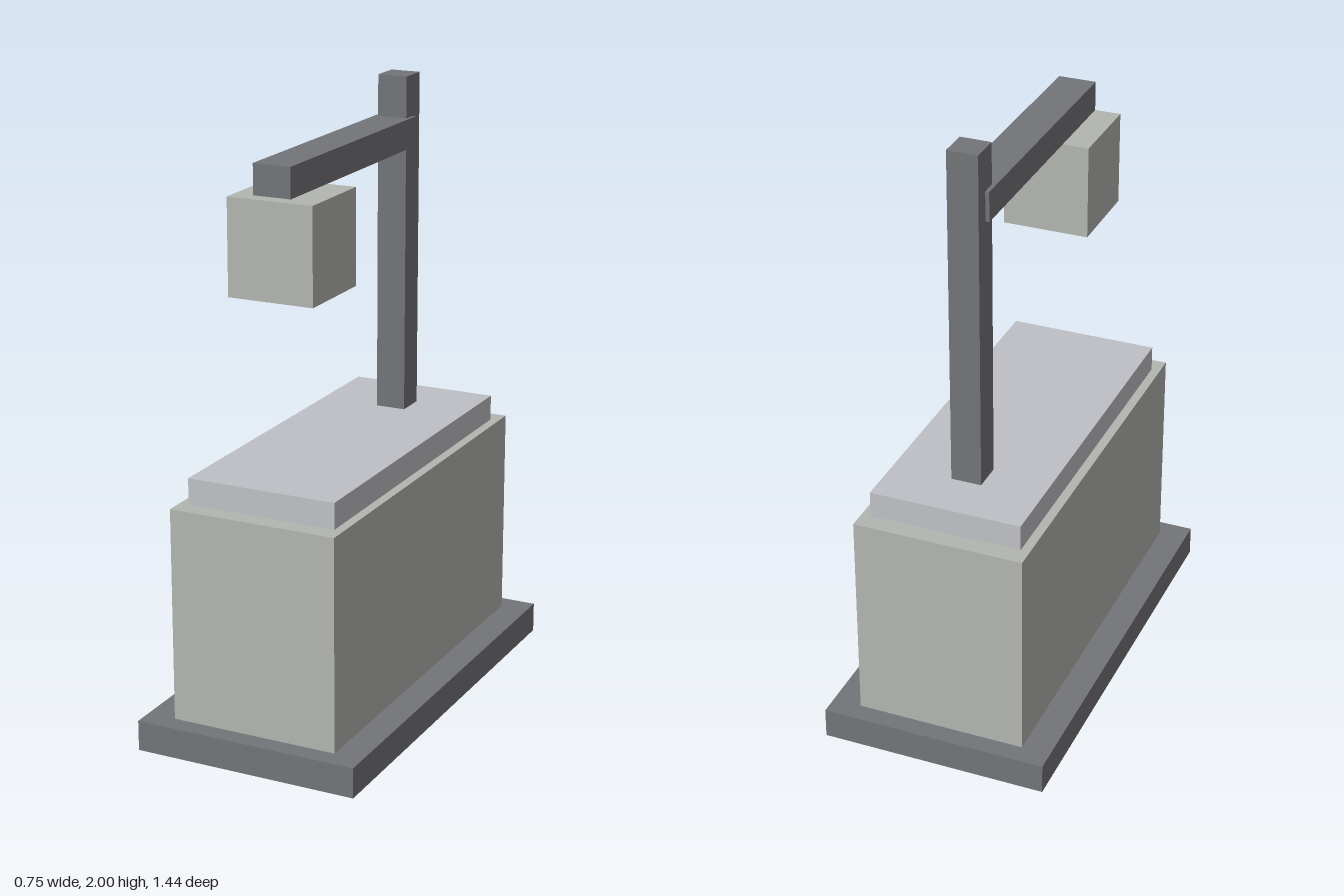
import * as THREE from 'three';

const dark = new THREE.MeshStandardMaterial({ color: 0x737478, flatShading: true });
const stone = new THREE.MeshStandardMaterial({ color: 0xb2b5b0, flatShading: true });
const pale = new THREE.MeshStandardMaterial({ color: 0xbfc0c5, flatShading: true });

// Box centred on x, given its width and its y and z ranges
function block(name, material, width, [y0, y1], [z0, z1]) {
  const mesh = new THREE.Mesh(new THREE.BoxGeometry(width, y1 - y0, z1 - z0), material);
  mesh.position.set(0, (y0 + y1) / 2, (z0 + z1) / 2);
  mesh.name = name;
  return mesh;
}

export function createModel() {
  const model = new THREE.Group();
  model.name = 'pedestalWithHangingBlock';
  model.add(
    // Stepped pedestal
    block('basePlinth', dark, 0.75, [0, 0.1], [-0.72, 0.72]),
    block('body', stone, 0.56, [0.1, 0.8], [-0.655, 0.655]),
    block('topSlab', pale, 0.5, [0.8, 0.885], [-0.593, 0.593]),
    // Post with an arm reaching forward over the slab
    block('post', dark, 0.1, [0.885, 2], [-0.425, -0.325]),
    block('arm', dark, 0.125, [1.768, 1.865], [-0.375, 0.5]),
    // Block held just below the end of the arm
    block('hangingBlock', stone, 0.285, [1.452, 1.76], [0.23, 0.517]),
  );
  return model;
}
